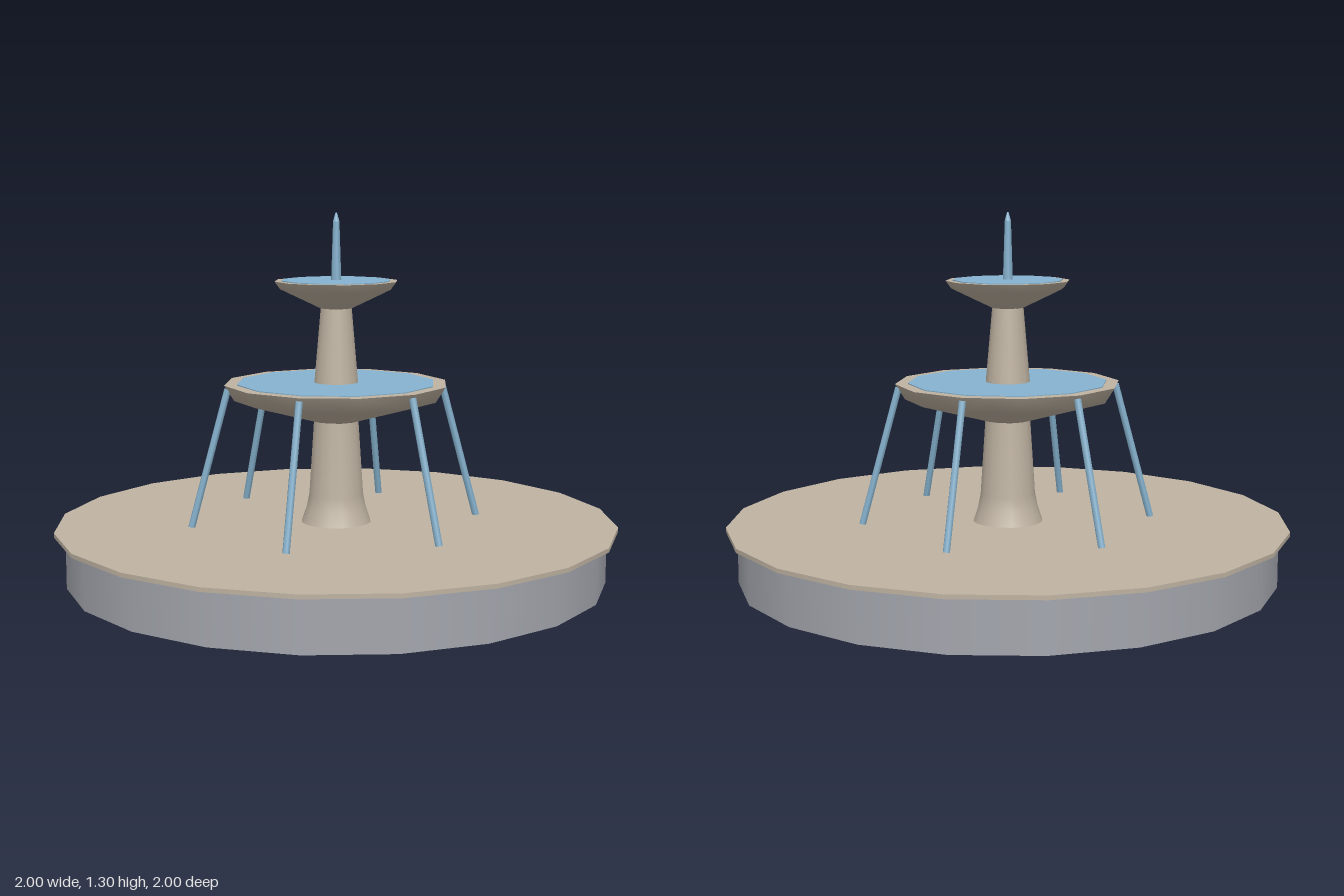
import * as THREE from 'three';

const material = (name, color, side = THREE.FrontSide) => {
  const m = new THREE.MeshStandardMaterial({ color, side });
  m.name = name;
  return m;
};

export function createModel() {
  const fountain = new THREE.Group();
  fountain.name = 'fountain';
  const stone = material('warm stone', 0xbfb3a2);
  const concrete = material('grey concrete', 0xa3a6ad);
  const water = material('water blue', 0x86b3cf);

  const add = (name, geometry, mat, parent = fountain) => {
    const mesh = new THREE.Mesh(geometry, mat);
    mesh.name = name;
    parent.add(mesh);
    return mesh;
  };
  // Cylinder placed by its bottom and top heights
  const drum = (rTop, rBottom, y0, y1, sides) =>
    new THREE.CylinderGeometry(rTop, rBottom, y1 - y0, sides).translate(0, (y0 + y1) / 2, 0);
  // Profile of [radius, height] pairs, listed upward
  const lathe = (profile, sides) =>
    new THREE.LatheGeometry(profile.map(([r, y]) => new THREE.Vector2(r, y)), sides);

  // Ground basin with an overhanging slab
  add('basinWall', drum(0.96, 0.96, 0, 0.185, 20), concrete);
  add('basinSlab', drum(1, 1, 0.185, 0.2, 20), stone);

  // Flared lower column and tapered upper column
  add('lowerColumn', lathe([[0.125, 0.2], [0.108, 0.25], [0.098, 0.3], [0.08, 0.575]], 16), stone);
  add('upperColumn', drum(0.055, 0.08, 0.69, 0.975, 16), stone);

  // Bowls: sloping underside, flat lip and a thin sheet of water
  const addBowl = (name, profile, waterRadius) => {
    const bowl = new THREE.Group();
    bowl.name = name;
    fountain.add(bowl);
    const [rim, top] = profile[profile.length - 1];
    add(name + 'Underside', lathe([[0, profile[0][1]], ...profile], 12), stone, bowl);
    add(name + 'Lip', lathe([[rim, top], [0, top]], 12), stone, bowl);
    add(name + 'Water', drum(waterRadius, waterRadius, top - 0.003, top + 0.003, 12), water, bowl);
  };
  addBowl('lowerBowl', [[0.08, 0.565], [0.365, 0.645], [0.4, 0.7]], 0.355);
  addBowl('upperBowl', [[0.055, 0.965], [0.2, 1.035], [0.22, 1.062]], 0.195);

  // Central spout with a pointed tip
  add('spout', drum(0.012, 0.019, 1.06, 1.27, 6), water);
  add('spoutTip', drum(0.003, 0.012, 1.27, 1.3, 6), water);

  // Six jets falling from the lower bowl to the slab
  for (let i = 0; i < 6; i++) {
    const a = (i * Math.PI) / 3;
    const at = (r, y) => new THREE.Vector3(r * Math.cos(a), y, r * Math.sin(a));
    const from = at(0.52, 0.2), to = at(0.388, 0.687);
    const jet = add('jet', new THREE.CylinderGeometry(0.013, 0.013, from.distanceTo(to), 6), water);
    jet.position.copy(from).add(to).multiplyScalar(0.5);
    jet.quaternion.setFromUnitVectors(new THREE.Vector3(0, 1, 0), to.sub(from).normalize());
  }
  return fountain;
}
